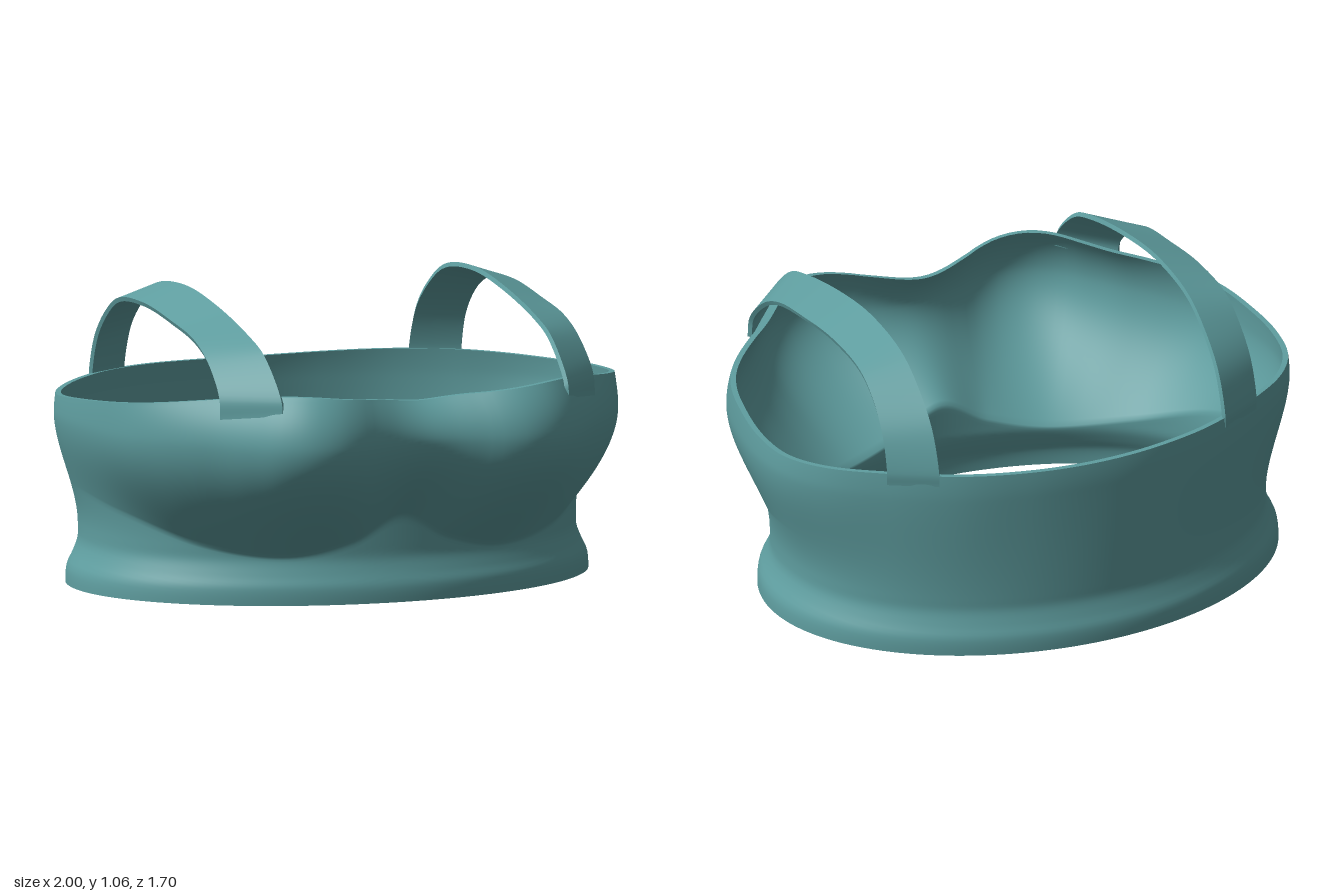
import * as THREE from 'three';
import { mergeGeometries } from 'three/addons/utils/BufferGeometryUtils.js';

const CZ = -0.147, DEG = Math.PI / 180, THICK = 0.02, LOW = 0.32;

// Smooth curve through [x, y] pairs, level at both ends
function spline(p) {
  const m = p.map((_, i) => (i === 0 || i === p.length - 1) ? 0
    : (p[i + 1][1] - p[i - 1][1]) / (p[i + 1][0] - p[i - 1][0]));
  return (x) => {
    let i = 0;
    while (i < p.length - 2 && x > p[i + 1][0]) i++;
    const h = p[i + 1][0] - p[i][0];
    const t = THREE.MathUtils.clamp((x - p[i][0]) / h, 0, 1), t2 = t * t, t3 = t2 * t;
    return (2 * t3 - 3 * t2 + 1) * p[i][1] + (t3 - 2 * t2 + t) * h * m[i]
      + (3 * t2 - 2 * t3) * p[i + 1][1] + (t3 - t2) * h * m[i + 1];
  };
}

// Grid surface from fn(u, v) -> Vector3, optionally closed around u
function loft(fn, nu, nv, wrap) {
  const pos = [], idx = [], cols = wrap ? nu : nu + 1;
  for (let j = 0; j <= nv; j++)
    for (let i = 0; i < cols; i++) pos.push(...fn(i / nu, j / nv).toArray());
  for (let j = 0; j < nv; j++)
    for (let i = 0; i < nu; i++) {
      const a = j * cols + i, b = j * cols + (i + 1) % cols;
      idx.push(a, b, b + cols, a, b + cols, a + cols);
    }
  const g = new THREE.BufferGeometry();
  g.setAttribute('position', new THREE.Float32BufferAttribute(pos, 3));
  g.setIndex(idx);
  g.computeVertexNormals();
  return g;
}

// Plan outline at the fullest height, as radius by angle from the front
const fullRadius = spline([
  [0, 0.75], [0.1, 0.763], [0.2, 0.797], [0.28, 0.832], [0.37, 0.85], [0.47, 0.832], [0.56, 0.775],
  [0.64, 0.68], [0.72, 0.575], [0.8, 0.48], [0.88, 0.37], [0.93, 0.275], [0.985, 0.05], [1, -0.15],
  [0.975, -0.3], [0.9, -0.43], [0.71, -0.6], [0.5, -0.72], [0.25, -0.79], [0, -0.81],
].map(([x, z]) => [Math.atan2(x, z - CZ) / DEG, Math.hypot(x, z - CZ)]));

// Height of the under-cup crease and of the neckline, by angle
const creaseY = spline([[0, 0.3], [15, 0.215], [34, 0.165], [55, 0.2], [77, 0.3], [95, 0.35], [125, 0.25], [180, 0.2]]);
const rimY = spline([[0, 0.73], [12, 0.75], [28, 0.778], [45, 0.755], [65, 0.72], [85, 0.692],
  [100, 0.677], [125, 0.69], [180, 0.68]]);
// Outward flare of the lower band, by height
const flare = spline([[0, 0.045], [0.06, 0.04], [0.1, 0.021], [0.15, 0.002], [0.19, 0]]);

function bodyPoint(u, v, inset) {
  const phi = u * Math.PI * 2;
  const a = Math.abs(u > 0.5 ? 360 - u * 360 : u * 360);
  const y0 = creaseY(a), y1 = rimY(a);
  const y = v < LOW ? y0 * v / LOW : y0 + (y1 - y0) * (v - LOW) / (1 - LOW);
  // waist ellipse plus band flare
  const f = flare(y), hx = 0.905 + f, hz = 0.665 + f * 0.85;
  const base = 1 / Math.hypot(Math.sin(phi) / hx, Math.cos(phi) / hz);
  // swell from the waist to the full outline: crisp fold in front, soft behind
  const t = THREE.MathUtils.clamp((y - y0) / (0.6 - y0), 0, 1);
  const cup = Math.sin(t * Math.PI / 2), soft = THREE.MathUtils.smoothstep(y, 0.2, 0.62);
  const w = THREE.MathUtils.lerp(cup, soft, THREE.MathUtils.smoothstep(a, 55, 100));
  let r = base + (fullRadius(a) - base) * w;
  // cups curl back in toward the neckline
  const k = Math.max(0, (y - 0.59) / (y1 - 0.59));
  r -= (0.075 * (1 - THREE.MathUtils.smoothstep(a, 30, 75)) + 0.006) * k * k + inset;
  return new THREE.Vector3(Math.sin(phi) * r, y, CZ + Math.cos(phi) * r);
}

function bodyGeometry() {
  const N = 192, M = 56;
  return mergeGeometries([
    loft((u, v) => bodyPoint(u, v, 0), N, M, true),
    loft((u, v) => bodyPoint(u, 1 - v, THICK), N, M, true),
    loft((u, v) => bodyPoint(u, 1, THICK * v), N, 1, true),
    loft((u, v) => bodyPoint(u, 0, THICK * (1 - v)), N, 1, true),
  ]);
}

// Strap edges as [x, y, z], front to back
const edge = (pts) => new THREE.CatmullRomCurve3(pts.map((p) => new THREE.Vector3(...p)));
const innerEdge = edge([
  [0.545, 0.715, 0.735], [0.546, 0.77, 0.722], [0.548, 0.906, 0.577], [0.55, 0.96, 0.44], [0.55, 1.03, 0.14],
  [0.55, 1.06, -0.13], [0.55, 1.03, -0.385], [0.55, 0.95, -0.53], [0.55, 0.846, -0.636], [0.55, 0.7, -0.695], [0.55, 0.65, -0.695]]);
const outerEdge = edge([
  [0.715, 0.69, 0.57], [0.713, 0.765, 0.56], [0.709, 0.875, 0.45], [0.707, 0.938, 0.32], [0.705, 0.975, 0.12],
  [0.705, 1.005, -0.13], [0.705, 0.99, -0.36], [0.705, 0.93, -0.47], [0.708, 0.83, -0.56], [0.71, 0.7, -0.605], [0.71, 0.65, -0.605]]);

function strapGeometry(side) {
  const corner = (i, v) => {
    const a = innerEdge.getPoint(v), b = outerEdge.getPoint(v);
    const along = innerEdge.getTangent(v).add(outerEdge.getTangent(v));
    const n = b.clone().sub(a).cross(along).normalize();
    const p = i === 0 || i === 3 ? a : b;
    if (i > 1) p.addScaledVector(n, -0.016);
    p.x *= side;
    return p;
  };
  const order = side > 0 ? [0, 1, 2, 3] : [3, 2, 1, 0];
  return mergeGeometries(order.map((c, k) =>
    loft((u, v) => corner(c, v).lerp(corner(order[(k + 1) % 4], v), u), 2, 64, false)));
}

export function createModel() {
  const group = new THREE.Group();
  const cloth = new THREE.MeshStandardMaterial({ color: 0x5f9ea0, side: THREE.DoubleSide });
  const add = (name, geometry) => {
    const mesh = new THREE.Mesh(geometry, cloth);
    mesh.name = name;
    group.add(mesh);
  };
  add('bodice', bodyGeometry());
  add('leftStrap', strapGeometry(1));
  add('rightStrap', strapGeometry(-1));
  return group;
}
